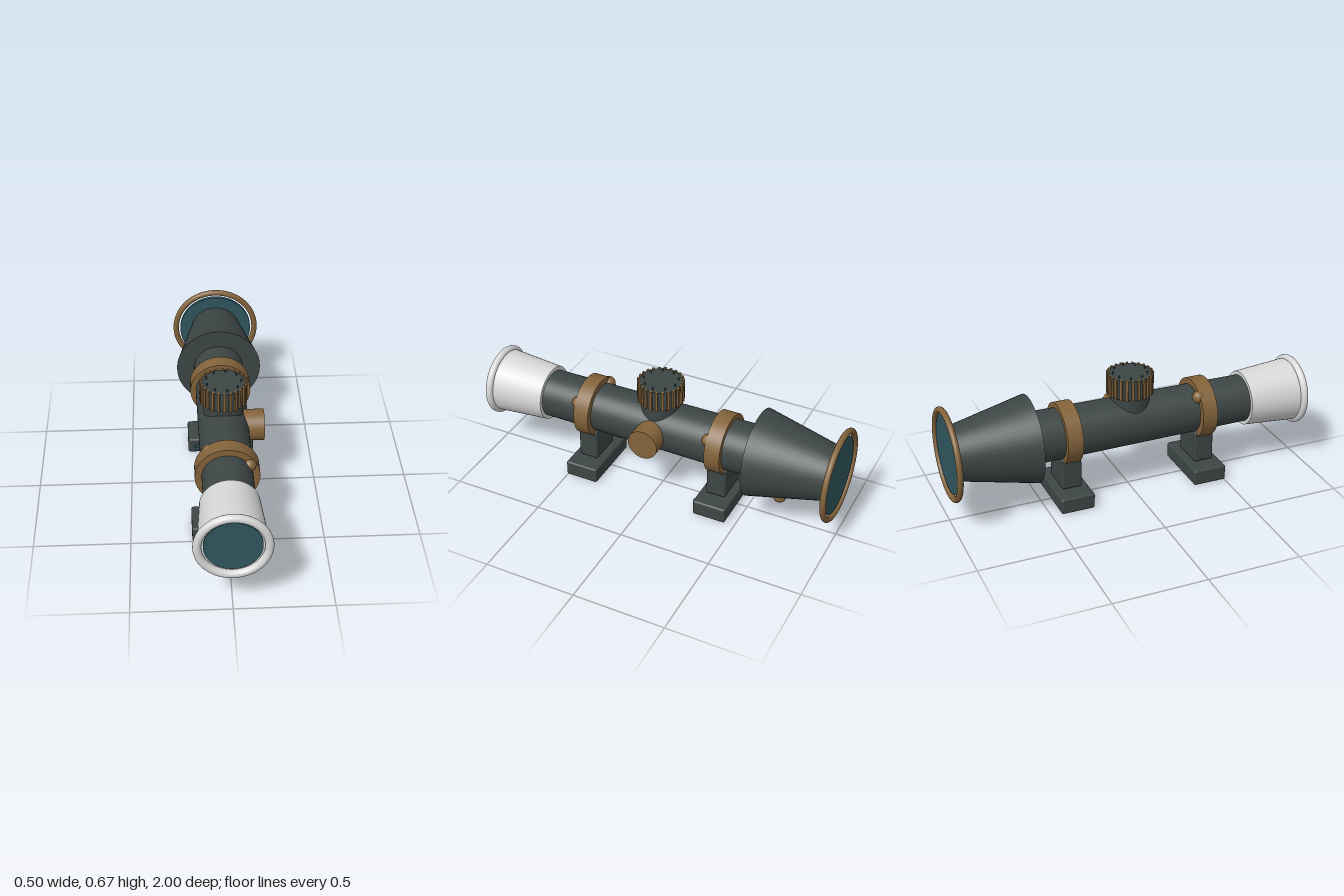
import * as THREE from 'three';
import { RoundedBoxGeometry } from 'three/addons/geometries/RoundedBoxGeometry.js';

const mat = (name, color) => new THREE.MeshStandardMaterial({ name, color });
const AXIS = 0.385; // height of the optical axis
const KNOB_Z = 0.014;

export function createModel() {
  const dark = mat('gunmetal', 0x3d4545);
  const gold = mat('brass', 0x83633b);
  const teal = mat('tealGlass', 0x2f555e);
  const silver = mat('silver', 0xd8d8d8);
  const black = mat('slotBlack', 0x15191a);

  const model = new THREE.Group();
  model.name = 'rifleScope';

  const add = (parent, name, geo, material, x = 0, y = 0, z = 0) => {
    const m = new THREE.Mesh(geo, material);
    m.name = name;
    m.position.set(x, y, z);
    parent.add(m);
    return m;
  };
  // Cylinder or cone lying along z, from z0 (back) to z1 (front)
  const along = (parent, name, material, z0, r0, z1, r1, y = AXIS, x = 0, seg = 48) =>
    add(parent, name, new THREE.CylinderGeometry(r1, r0, z1 - z0, seg).rotateX(Math.PI / 2),
      material, x, y, (z0 + z1) / 2);

  // Main tube and the two end bells
  along(model, 'mainTube', dark, -0.56, 0.138, 0.69, 0.129);
  along(model, 'rearBell', dark, -0.97, 0.14, -0.543, 0.235);
  along(model, 'frontBell', silver, 0.67, 0.15, 0.97, 0.173);

  // Rims and lenses
  add(model, 'frontRim', new THREE.TorusGeometry(0.171, 0.021, 16, 64), silver, 0, AXIS, 0.979);
  along(model, 'frontLens', teal, 0.962, 0.142, 0.978, 0.142, AXIS, 0, 64);
  add(model, 'rearRim', new THREE.TorusGeometry(0.232, 0.016, 16, 64), gold, 0, AXIS, -0.984);
  along(model, 'rearLens', teal, -0.986, 0.207, -0.966, 0.207, AXIS, 0, 64);

  // Mounts: band, post, foot and two slotted screws
  for (const [name, z] of [['frontMount', 0.412], ['rearMount', -0.353]]) {
    const mount = new THREE.Group();
    mount.name = name;
    mount.position.z = z;
    model.add(mount);
    along(mount, 'band', gold, -0.043, 0.165, 0.043, 0.165);
    add(mount, 'post', new RoundedBoxGeometry(0.19, 0.18, 0.11, 3, 0.012), dark, 0, 0.185, 0);
    add(mount, 'foot', new RoundedBoxGeometry(0.366, 0.088, 0.186, 3, 0.012), dark, 0, 0.045, 0);
    for (const x of [-0.13, 0.13]) {
      along(mount, 'footScrew', teal, 0.08, 0.016, 0.106, 0.016, 0.045, x, 20);
      add(mount, 'screwSlot', new THREE.BoxGeometry(0.024, 0.004, 0.004), black, x, 0.045, 0.106);
    }
  }

  // Elevation turret: neck, cap, grip ribs and index pins
  const turret = new THREE.Group();
  turret.name = 'elevationTurret';
  turret.position.z = KNOB_Z;
  model.add(turret);
  add(turret, 'neck', new THREE.CylinderGeometry(0.104, 0.104, 0.11, 40), dark, 0, 0.505, 0);
  add(turret, 'cap', new THREE.CylinderGeometry(0.115, 0.115, 0.11, 48), dark, 0, 0.605, 0);
  const ribGeo = new THREE.BoxGeometry(0.016, 0.113, 0.014);
  for (let i = 0; i < 24; i++) {
    const a = (i / 24) * Math.PI * 2;
    const rib = add(turret, 'gripRib', ribGeo, gold, 0.117 * Math.cos(a), 0.6065, 0.117 * Math.sin(a));
    rib.rotation.y = -a;
  }
  const pinGeo = new THREE.CylinderGeometry(0.004, 0.004, 0.03, 8);
  for (let i = 0; i < 9; i++) {
    const a = (i / 9) * Math.PI * 2;
    add(turret, 'indexPin', pinGeo, teal, 0.092 * Math.cos(a), 0.66, 0.092 * Math.sin(a));
  }

  // Windage knob on the left side
  add(model, 'windageKnob', new THREE.CylinderGeometry(0.083, 0.083, 0.115, 40).rotateZ(-Math.PI / 2),
    gold, 0.157, AXIS, KNOB_Z + 0.003);

  // Domed rivets partly sunk into the surfaces
  const rivetGeo = new THREE.SphereGeometry(0.034, 24, 16);
  for (const [x, y, z] of [
    [0.11, 0.455, 0.452], [0.11, 0.455, -0.31], [-0.09, 0.488, 0.372],
    [0.035, 0.278, 0.245], [0.095, 0.222, -0.712],
  ]) add(model, 'rivet', rivetGeo, gold, x, y, z);

  return model;
}
